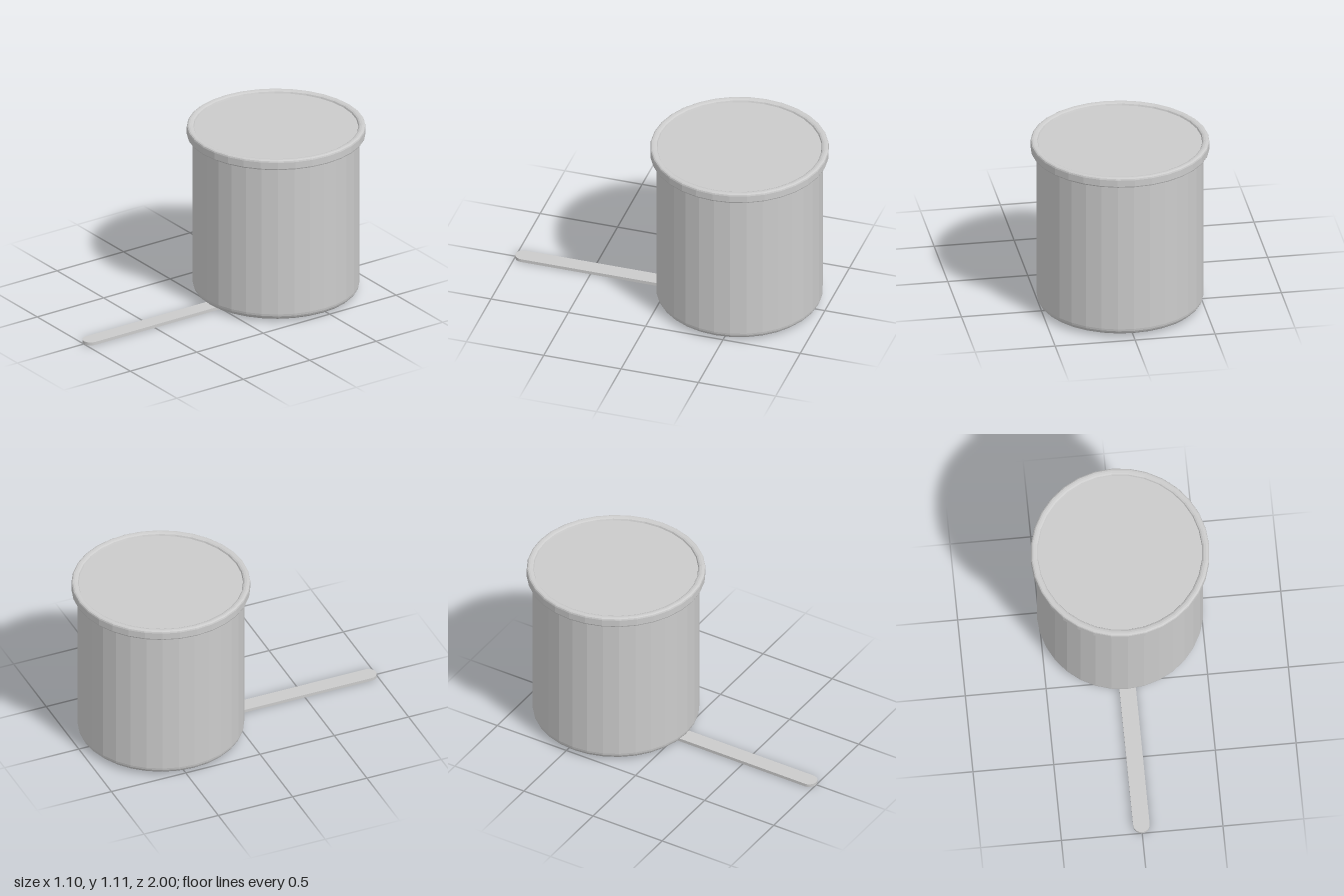
import * as THREE from 'three';

const SIDES = 32;
const POT_Z = -0.448;

export function createModel() {
  const group = new THREE.Group();
  const material = new THREE.MeshStandardMaterial({ color: 0xcccccc, flatShading: true });

  const add = (name, geometry) => {
    const mesh = new THREE.Mesh(geometry, material);
    mesh.name = name;
    group.add(mesh);
    return mesh;
  };
  const lathe = (name, pairs) => {
    const points = pairs.map(([r, y]) => new THREE.Vector2(r, y));
    const mesh = add(name, new THREE.LatheGeometry(points, SIDES));
    mesh.position.z = POT_Z;
    return mesh;
  };

  // Straight-sided drum with a rounded foot and a small flare under the rim
  const foot = [];
  for (let i = 0; i <= 5; i++) {
    const a = (i / 5) * Math.PI / 2;
    foot.push([0.47 + 0.045 * Math.sin(a), 0.058 - 0.045 * Math.cos(a)]);
  }
  lathe('body', [[0, 0.013], ...foot, [0.515, 1.033], [0.518, 1.041], [0.526, 1.046]]);

  // Rolled rim, rounded over the top into the shallow recess
  lathe('rim', [
    [0.515, 1.045], [0.543, 1.045], [0.549, 1.048], [0.552, 1.055],
    [0.552, 1.097], [0.549, 1.106], [0.542, 1.111], [0.532, 1.112],
    [0.52, 1.11], [0.511, 1.105], [0.506, 1.094],
  ]);

  // Flat disc closing the top
  lathe('topDisc', [[0.507, 1.095], [0, 1.095]]);

  // Flat round-ended bar running from under the drum's centre to the front
  const r = 0.051, back = -0.445, front = 1;
  const outline = new THREE.Shape();
  outline.absarc(0, -(back + r), r, 0, Math.PI, false);
  outline.absarc(0, -(front - r), r, Math.PI, Math.PI * 2, false);
  outline.closePath();
  const bar = new THREE.ExtrudeGeometry(outline, { depth: 0.02, bevelEnabled: false, curveSegments: 12 });
  bar.rotateX(-Math.PI / 2);
  add('handle', bar);

  return group;
}
